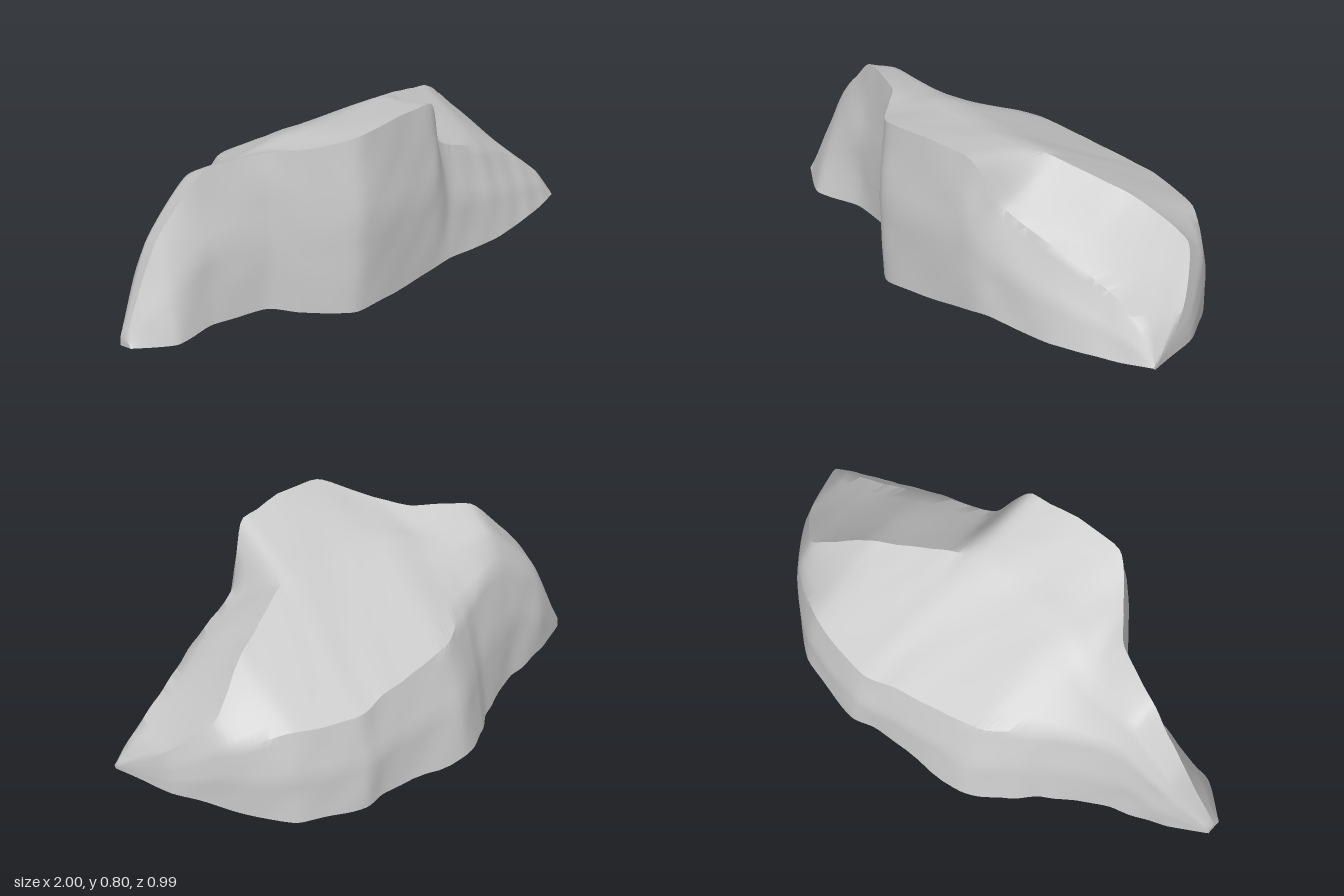
import * as THREE from 'three';
import { toCreasedNormals } from 'three/addons/utils/BufferGeometryUtils.js';

const { smoothstep } = THREE.MathUtils;

// Stations along the length of the boulder, shared by every edge line
const X = [-1, -0.85, -0.65, -0.43, -0.34, -0.18, 0.21, 0.33, 0.6, 0.8, 0.93, 1];

// An edge line from the right tip to the left tip; y is a list or a rule of x
const edge = (z, y) => X.map((x, i) =>
  new THREE.Vector3(x, typeof y === 'function' ? y(x) : y[i], z[i]));

// An edge halfway down a wall, pushed outwards except at the tips
const wallMiddle = (upper, lower, bulge) => upper.map((p, i) => {
  const q = p.clone().lerp(lower[i], 0.5);
  q.z += bulge * (1 - q.x ** 4);
  return q;
});

const bottomFront = edge(
  [0.1, 0.2, 0.17, 0.22, 0.32, 0.46, 0.42, 0.4, 0.36, 0.29, 0.23, 0.19],
  x => 0.015 + 0.04 * smoothstep(x, -1, -0.4) + 0.055 * smoothstep(x, -0.2, 0.35),
);
const topFront = edge(
  [0.07, 0.07, 0.12, 0.21, 0.31, 0.465, 0.42, 0.33, 0.25, 0.19, 0.17, 0.18],
  [0.05, 0.41, 0.66, 0.7, 0.72, 0.78, 0.795, 0.57, 0.44, 0.33, 0.22, 0.12],
);
// Ridge over the top slope and the broken facet
const ridge = edge(
  [0.055, 0, 0, 0.02, 0.06, 0.1, 0.1, 0.06, -0.07, -0.18, -0.03, 0.17],
  [0.05, 0.37, 0.59, 0.62, 0.65, 0.69, 0.705, 0.68, 0.59, 0.42, 0.26, 0.12],
);
const backShoulder = edge(
  [0.04, -0.03, -0.07, -0.16, -0.22, -0.33, -0.42, -0.44, -0.39, -0.25, -0.06, 0.17],
  [0.045, 0.3, 0.48, 0.48, 0.47, 0.45, 0.4, 0.39, 0.39, 0.33, 0.2, 0.115],
);
const bottomBack = edge(
  [0.04, -0.05, -0.13, -0.26, -0.35, -0.45, -0.47, -0.49, -0.43, -0.25, -0.07, 0.18],
  x => 0.01 + 0.09 * smoothstep(x, 0.6, 1),
);
const edges = [
  bottomFront,
  wallMiddle(topFront, bottomFront, 0.025),
  topFront,
  ridge,
  backShoulder,
  wallMiddle(backShoulder, bottomBack, -0.02),
  bottomBack,
];

// Gentle chipped unevenness of the stone
function ripple(p) {
  const a = Math.sin(13 * p.x + 7 * p.y) * Math.sin(11 * p.z - 9 * p.y + 1);
  const b = Math.sin(29 * p.x - 17 * p.z + 2) * Math.sin(23 * p.y + 19 * p.z);
  return 0.006 * a + 0.003 * b;
}

function boulderGeometry() {
  const rows = 88, steps = 5, n = edges.length * steps;
  const curves = edges.map(points => new THREE.CatmullRomCurve3(points, false, 'catmullrom', 0.3));
  const positions = [], index = [];

  // Cross-sections: join neighbouring edge lines with nearly flat facets
  for (let i = 0; i <= rows; i++) {
    const t = i / rows;
    const corners = curves.map(c => c.getPoint(t));
    const fade = Math.min(1, 8 * t, 8 * (1 - t));
    for (let j = 0; j < n; j++) {
      const k = Math.floor(j / steps);
      const p = corners[k].clone().lerp(corners[(k + 1) % corners.length], (j % steps) / steps);
      const d = ripple(p) * fade;
      positions.push(p.x, Math.max(0, p.y + d), p.z + 0.7 * d);
    }
  }
  for (let i = 0; i < rows; i++) {
    for (let j = 0; j < n; j++) {
      const k = (j + 1) % n;
      const a = i * n + j, b = a + n, c = (i + 1) * n + k, d = i * n + k;
      index.push(a, b, c, a, c, d);
    }
  }

  // Close both tips
  const last = rows * n, centre = (rows + 1) * n;
  positions.push(-1, 0.03, 0.06, 1, 0.11, 0.18);
  for (let j = 0; j < n; j++) {
    const k = (j + 1) % n;
    index.push(centre, j, k, centre + 1, last + k, last + j);
  }

  const geometry = new THREE.BufferGeometry();
  geometry.setAttribute('position', new THREE.Float32BufferAttribute(positions, 3));
  geometry.setIndex(index);
  return toCreasedNormals(geometry, 0.7);
}

export function createModel() {
  const group = new THREE.Group();
  group.name = 'rock';
  const boulder = new THREE.Mesh(
    boulderGeometry(),
    new THREE.MeshStandardMaterial({ color: 0xcccccc }),
  );
  boulder.name = 'boulder';
  group.add(boulder);
  return group;
}
